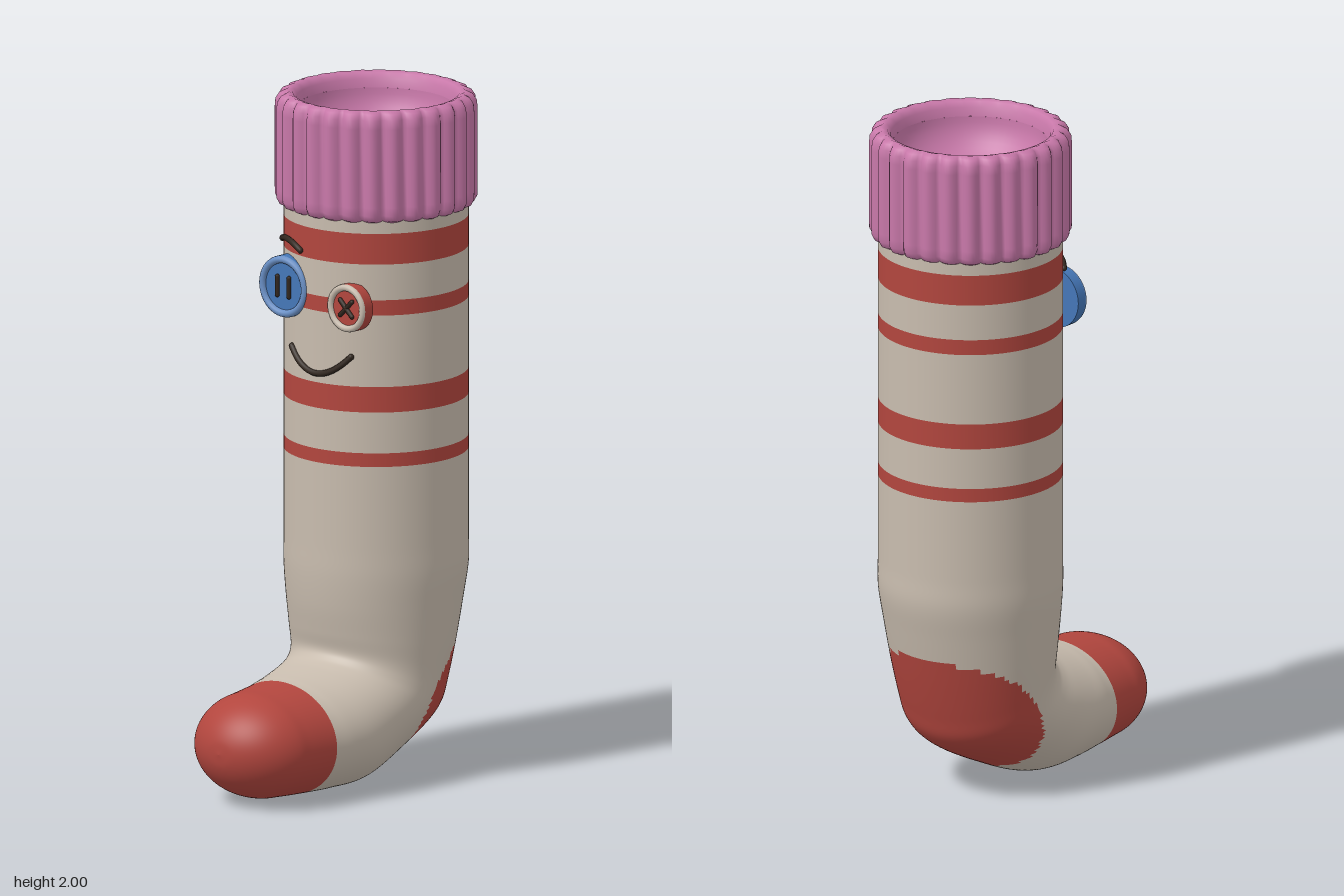
import * as THREE from 'three';
import { mergeVertices } from 'three/addons/utils/BufferGeometryUtils.js';

const mat = (name, color, side = THREE.FrontSide) => {
  const m = new THREE.MeshStandardMaterial({ color, side });
  m.name = name;
  return m;
};

const LEG_Z = -0.2, LEG_R = 0.265;
const legFront = (x) => LEG_Z + Math.sqrt(LEG_R * LEG_R - x * x);

// Sock body: elliptical rings, each spanning a front point F and a back point B
function sockGeometry() {
  const SEG = 112, SUB = 8;
  const F = [], B = [];
  const ring = (fz, fy, bz, by, w) => {
    F.push(new THREE.Vector3(w, fy, fz));
    B.push(new THREE.Vector3(w, by, bz));
  };
  // straight leg, with rings on the stripe edges
  for (const y of [1.72, 1.64, 1.55, 1.445, 1.4, 1.19, 1.115, 0.995, 0.955, 0.83, 0.71, 0.62])
    ring(LEG_Z + LEG_R, y, LEG_Z - LEG_R, y, LEG_R);
  // ankle, heel and instep
  [[0.058, 0.53, -0.445, 0.52, 0.257],
   [0.045, 0.45, -0.412, 0.38, 0.247],
   [0.036, 0.40, -0.378, 0.26, 0.238],
   [0.05, 0.375, -0.352, 0.19, 0.235],
   [0.075, 0.362, -0.29, 0.135, 0.235],
   [0.11, 0.353, -0.16, 0.068, 0.235],
   [0.15, 0.345, -0.02, 0.01, 0.232],
   [0.18, 0.34, 0.1, 0.004, 0.222],
   [0.212, 0.335, 0.21, 0.008, 0.208]].forEach((r) => ring(...r));
  const toeStart = F.length - 1;
  // rounded toe
  for (let i = 0; i <= 6; i++) {
    const a = (i / 6) * Math.PI / 2, c = Math.cos(a), z = 0.3 + 0.19 * Math.sin(a);
    ring(z, 0.17 + 0.156 * c, z, 0.17 - 0.156 * c, 0.195 * c);
  }

  const curveF = new THREE.CatmullRomCurve3(F, false, 'catmullrom', 0.5);
  const curveB = new THREE.CatmullRomCurve3(B, false, 'catmullrom', 0.5);
  const rows = (F.length - 1) * SUB;
  const pos = [];
  for (let j = 0; j <= rows; j++) {
    const f = curveF.getPoint(j / rows), b = curveB.getPoint(j / rows);
    for (let i = 0; i < SEG; i++) {
      const t = (i / SEG) * Math.PI * 2, k = (1 + Math.cos(t)) / 2;
      pos.push(f.x * Math.sin(t), b.y + (f.y - b.y) * k, b.z + (f.z - b.z) * k);
    }
  }

  // red on the four stripes, the toe and the round heel patch
  const stripes = [1, 3, 5, 7];
  const inHeel = (n) => {
    const [x, y, z] = pos.slice(n * 3, n * 3 + 3);
    return (z + 0.45) ** 2 + (y - 0.14) ** 2 + 0.25 * x * x < 0.32 ** 2;
  };
  const wool = [], red = [];
  for (let j = 0; j < rows; j++) {
    const part = Math.floor(j / SUB);
    for (let i = 0; i < SEG; i++) {
      const a = j * SEG + i, b = j * SEG + (i + 1) % SEG;
      const c = a + SEG, d = b + SEG;
      const isRed = stripes.includes(part) || part >= toeStart || inHeel(a);
      (isRed ? red : wool).push(a, c, b, b, c, d);
    }
  }
  const geo = new THREE.BufferGeometry();
  geo.setAttribute('position', new THREE.Float32BufferAttribute(pos, 3));
  geo.setIndex([...wool, ...red]);
  geo.addGroup(0, wool.length, 0);
  geo.addGroup(wool.length, red.length, 1);
  geo.computeVertexNormals();
  return geo;
}

// Ribbed cuff: a lathe whose outer wall is pushed out into lobes
function cuffGeometry() {
  const profile = [[0.235, 1.675], [0.252, 1.67], [0.264, 1.678], [0.271, 1.695], [0.272, 1.72], [0.272, 1.95],
    [0.27, 1.975], [0.262, 1.992], [0.25, 2], [0.238, 1.995], [0.228, 1.98], [0.222, 1.955]]
    .map(([r, y]) => new THREE.Vector2(r, y));
  let geo = new THREE.LatheGeometry(profile, 28 * 8);
  geo.deleteAttribute('uv');
  geo.deleteAttribute('normal');
  geo = mergeVertices(geo);
  const p = geo.attributes.position;
  for (let i = 0; i < p.count; i++) {
    const x = p.getX(i), z = p.getZ(i), r = Math.hypot(x, z);
    const lobe = Math.abs(Math.cos(14 * Math.atan2(x, z)));
    const s = 1 + 0.068 * lobe * THREE.MathUtils.smoothstep(r, 0.235, 0.27);
    p.setX(i, x * s);
    p.setZ(i, z * s);
  }
  geo.computeVertexNormals();
  return geo;
}

export function createModel() {
  const wool = mat('wool', 0xc8bcae);
  const red = mat('red', 0xb2463e);
  const pink = mat('pink', 0xc878a9, THREE.DoubleSide);
  const blue = mat('blue', 0x4577b8);
  const paleBlue = mat('paleBlue', 0x6a90c6);
  const thread = mat('thread', 0x32271f);

  const model = new THREE.Group();
  const add = (name, geo, material, parent = model) => {
    const m = new THREE.Mesh(geo, material);
    m.name = name;
    parent.add(m);
    return m;
  };

  add('sock', sockGeometry(), [wool, red]);

  // cuff with a rounded hollow inside
  add('cuff', cuffGeometry(), pink).position.z = LEG_Z;
  const bowl = [];
  for (let i = 0; i <= 14; i++) {
    const a = (i / 14) * Math.PI / 2;
    bowl.push(new THREE.Vector2(0.222 * Math.cos(a), 1.955 - 0.16 * Math.sin(a)));
  }
  add('cuffInside', new THREE.LatheGeometry(bowl, 64), pink).position.z = LEG_Z;

  // button eyes: disc, raised rim and thread stitches [x, y, length, tilt]
  const button = (name, x, y, r, tube, discMat, rimMat, stitches) => {
    const g = new THREE.Group();
    g.name = name;
    g.position.set(x, y, 0.025);
    const disc = add('disc', new THREE.CylinderGeometry(r, r, 0.034, 48), discMat, g);
    disc.rotation.x = Math.PI / 2;
    disc.position.z = 0.017;
    add('rim', new THREE.TorusGeometry(r - tube, tube, 12, 48), rimMat, g).position.z = 0.034;
    for (const [sx, sy, len, tilt] of stitches) {
      const s = add('stitch', new THREE.CapsuleGeometry(0.007, len, 4, 8), thread, g);
      s.position.set(sx, sy, 0.037);
      s.rotation.z = tilt;
    }
    model.add(g);
  };
  button('rightEye', -0.125, 1.45, 0.09, 0.011, blue, paleBlue,
    [[-0.022, 0, 0.055, 0], [0.022, 0, 0.055, 0]]);
  button('leftEye', 0.113, 1.423, 0.07, 0.01, red, wool,
    [[0, 0, 0.062, Math.PI / 4], [0, 0, 0.062, -Math.PI / 4]]);

  // sewn mouth and eyebrow, lying on the leg's surface
  const sewn = (name, x0, x1, yAt) => {
    const pts = [];
    for (let i = 0; i <= 8; i++) {
      const u = i / 4 - 1, x = (x0 + x1) / 2 + u * (x1 - x0) / 2;
      pts.push(new THREE.Vector3(x, yAt(u), legFront(x) + 0.004));
    }
    const path = new THREE.CatmullRomCurve3(pts);
    add(name, new THREE.TubeGeometry(path, 32, 0.009, 8), thread);
    for (const p of [pts[0], pts[8]])
      add(name + 'End', new THREE.SphereGeometry(0.009, 10, 8), thread).position.copy(p);
  };
  sewn('mouth', -0.105, 0.115, (u) => 1.217 + 0.06 * u * u);
  sewn('eyebrow', -0.2, -0.06, (u) => 1.585 - 0.018 * u * u);

  return model;
}
